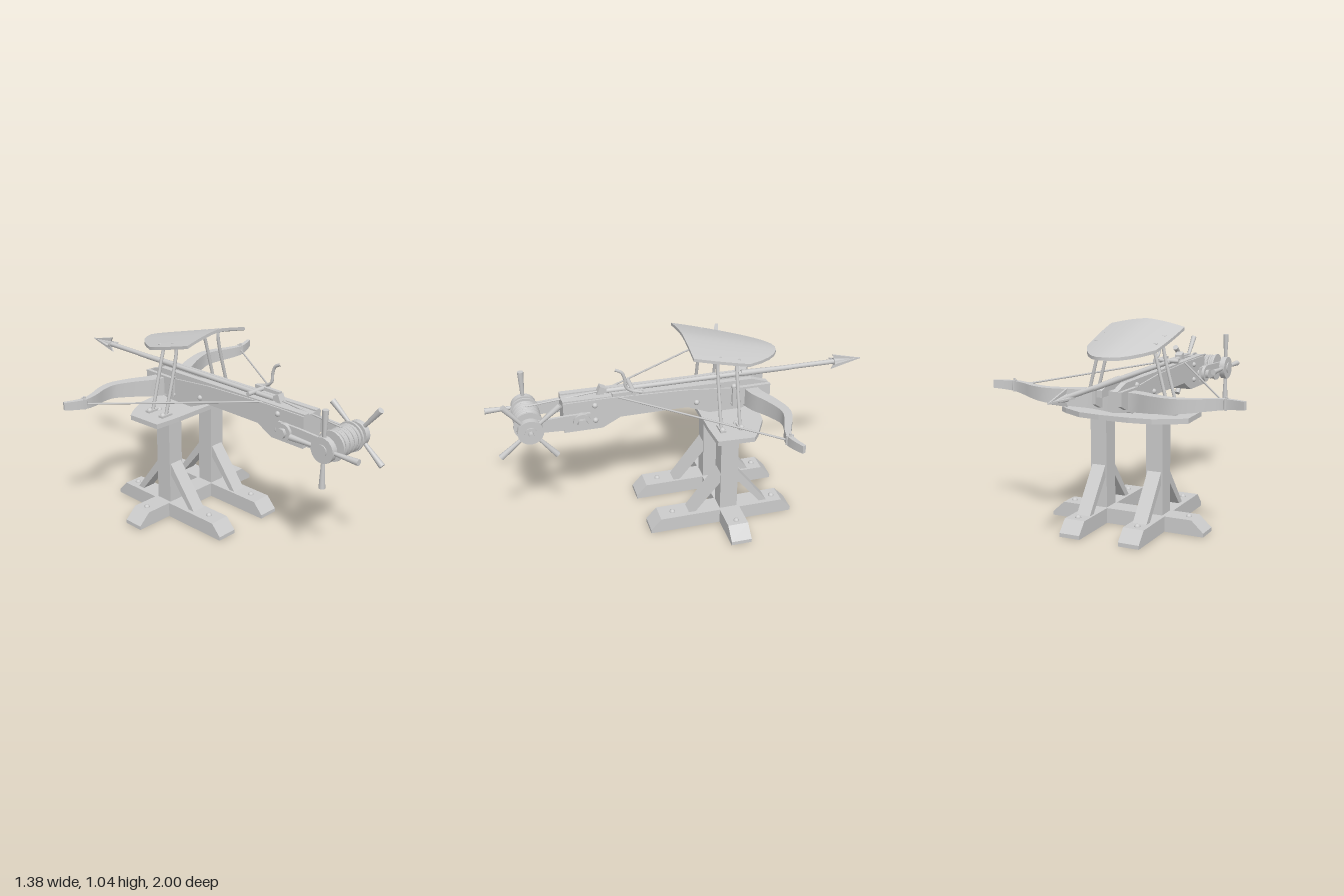
import * as THREE from 'three';
import { toCreasedNormals } from 'three/addons/utils/BufferGeometryUtils.js';

const mat = new THREE.MeshStandardMaterial({ color: 0xcccccc });
const V = (x, y, z) => new THREE.Vector3(x, y, z);

export function createModel() {
  const root = new THREE.Group();
  const add = (name, geo, x = 0, y = 0, z = 0) => {
    const m = new THREE.Mesh(geo, mat);
    m.name = name;
    m.position.set(x, y, z);
    root.add(m);
    return m;
  };
  const shape = (pts) => new THREE.Shape(pts.map(([a, b]) => new THREE.Vector2(a, b)));
  // Side profile of [z, y] points, centred across x
  const profile = (pts, width) => new THREE.ExtrudeGeometry(shape(pts), { depth: width, bevelEnabled: false })
    .translate(0, 0, -width / 2).rotateY(-Math.PI / 2);
  // Floor plan of [x, z] points, rising from y = 0
  const plan = (pts, height) => new THREE.ExtrudeGeometry(shape(pts.map(([x, z]) => [x, -z])), { depth: height, bevelEnabled: false })
    .rotateX(-Math.PI / 2);
  const tube = (name, pts, r, seg = 16) =>
    add(name, new THREE.TubeGeometry(new THREE.CatmullRomCurve3(pts), seg, r, 8));
  const rod = (name, a, b, r0, r1 = r0, sides = 10) => {
    const m = add(name, new THREE.CylinderGeometry(r1, r0, a.distanceTo(b), sides));
    m.position.copy(a).add(b).multiplyScalar(0.5);
    m.quaternion.setFromUnitVectors(V(0, 1, 0), b.clone().sub(a).normalize());
    return m;
  };
  const dome = (r) => new THREE.SphereGeometry(r, 10, 5, 0, Math.PI * 2, 0, Math.PI / 2);
  const topBolt = (x, y, z) => add('bolt', dome(0.016), x, y, z);
  const sideBolt = (s, x, y, z) => { add('sideBolt', dome(0.015), s * x, y, z).rotation.z = -s * Math.PI / 2; };

  // Base: two long feet and a cross beam, all with sloped ends
  const foot = (a, b, c) => [[a, 0], [a, 0.02], [a + c, 0.08], [b - c, 0.08], [b, 0.02], [b, 0]];
  const cross = add('crossBeam', profile(foot(-0.43, 0.43, 0.065), 0.11), 0, 0, -0.205);
  cross.rotation.y = Math.PI / 2;
  for (const s of [-1, 1]) {
    add('footBeam', profile(foot(-0.555, 0.23, 0.055), 0.112), s * 0.163, 0, 0);
    add('post', new THREE.BoxGeometry(0.09, 0.52, 0.095), s * 0.158, 0.32, -0.2025);
    add('frontBrace', profile([[0.016, 0.08], [-0.155, 0.305], [-0.155, 0.24], [-0.022, 0.08]], 0.075), s * 0.158);
    add('rearBrace', profile([[-0.42, 0.08], [-0.25, 0.305], [-0.25, 0.24], [-0.38, 0.08]], 0.075), s * 0.158);
    topBolt(s * 0.165, 0.078, 0.1);
    topBolt(s * 0.165, 0.078, -0.46);
    topBolt(s * 0.33, 0.078, -0.205);
    topBolt(s * 0.2, 0.598, -0.23);
  }

  // Platform on top of the posts
  const half = [[0.2, -0.08], [0.345, -0.09], [0.355, -0.28], [0.31, -0.315], [0.2, -0.375], [0.08, -0.39]];
  const mirrored = half.map(([x, z]) => [-x, z]).reverse();
  add('platform', plan([...half, ...mirrored], 0.026), 0, 0.575, 0);
  add('platformPeg', new THREE.BoxGeometry(0.045, 0.02, 0.1), 0.232, 0.566, -0.17);

  // Stock with stepped underside, and the grooved rail along it
  add('stock', profile([[0.63, 0.605], [0.63, 0.77], [0.4, 0.77], [0, 0.755], [-0.3, 0.725], [-0.38, 0.71],
    [-0.38, 0.63], [-0.305, 0.605], [-0.13, 0.605], [-0.01, 0.654], [0.34, 0.654], [0.434, 0.605]], 0.13));
  for (const s of [-1, 1]) {
    add('rail', profile([[0.63, 0.76], [0.63, 0.778], [-0.36, 0.765], [-0.45, 0.735], [-0.45, 0.7], [-0.3, 0.7]], 0.03), s * 0.042);
    add('noseCheek', profile([[-0.25, 0.63], [-0.25, 0.735], [-0.455, 0.735], [-0.455, 0.665], [-0.4, 0.64]], 0.02), s * 0.07);
    for (const [y, z] of [[0.74, 0.47], [0.655, 0.47], [0.675, -0.06], [0.74, -0.26], [0.64, -0.26]]) sideBolt(s, 0.064, y, z);
  }

  // Recurved bow: a box bent along a curve and tapered to the tips
  const right = [[0.12, -0.36], [0.22, -0.405], [0.34, -0.44], [0.42, -0.425], [0.5, -0.39], [0.57, -0.37], [0.62, -0.378], [0.685, -0.402]];
  const bowCurve = new THREE.CatmullRomCurve3([
    ...right.map(([x, z]) => V(-x, 0, z)).reverse(), V(0, 0, -0.345), ...right.map(([x, z]) => V(x, 0, z))]);
  const bow = new THREE.BoxGeometry(1, 1, 1, 56, 1, 1);
  const p = bow.attributes.position;
  for (let i = 0; i < p.count; i++) {
    const t = p.getX(i) + 0.5;
    const c = bowCurve.getPoint(t), d = bowCurve.getTangent(t);
    const k = Math.abs(c.x) / 0.685;
    const off = p.getZ(i) * THREE.MathUtils.lerp(0.075, 0.018, k);
    const top = 0.722 + 0.012 * k, bottom = 0.615 + 0.078 * k;
    p.setXYZ(i, c.x - d.z * off, p.getY(i) > 0 ? top : bottom, c.z + d.x * off);
  }
  add('bow', toCreasedNormals(bow, 0.6));

  // Bowstring with bindings at the bow tips
  for (const s of [-1, 1]) {
    rod('bowstring', V(s * 0.58, 0.705, -0.37), V(0, 0.775, 0.435), 0.005, 0.005, 6);
    const b = add('stringBinding', new THREE.CylinderGeometry(0.021, 0.021, 0.05, 10), s * 0.58, 0.71, -0.37);
    b.scale.x = 0.4;
    rod('stringKnot', V(s * 0.58, 0.675, -0.37), V(s * 0.58, 0.745, -0.37), 0.006);
  }

  // Loaded arrow with a broad head
  rod('arrowShaft', V(0, 0.778, 0.44), V(0, 0.77, -0.86), 0.013);
  rod('arrowShaftSleeve', V(0, 0.775, -0.32), V(0, 0.77, -0.6), 0.017, 0.013);
  rod('arrowHead', V(0, 0.77, -0.84), V(0, 0.77, -0.995), 0.02, 0.001, 8);
  for (let i = 0; i < 2; i++) {
    const blade = profile([[-0.83, -0.042], [-0.995, 0], [-0.83, 0.042], [-0.855, 0]].reverse(), 0.008);
    add('headBlade', blade, 0, 0.77, 0).rotation.z = i * Math.PI / 2;
  }

  // Trigger catch and curved lever
  add('catchBlock', profile([[0.4, 0.77], [0.4, 0.8], [0.43, 0.815], [0.45, 0.77]], 0.04));
  rod('catchBar', V(-0.06, 0.785, 0.27), V(0.08, 0.785, 0.27), 0.012);
  add('leverPlate', new THREE.BoxGeometry(0.02, 0.018, 0.16), 0.06, 0.785, 0.3);
  tube('lever', [V(0.073, 0.785, 0.23), V(0.073, 0.8, 0.28), V(0.073, 0.825, 0.31), V(0.073, 0.87, 0.315),
    V(0.073, 0.91, 0.33), V(0.073, 0.93, 0.365)], 0.008, 24);

  // Sloped, arched shield with a pointed far edge
  const shield = new THREE.BoxGeometry(2, 0.016, 1, 10, 1, 6);
  const q = shield.attributes.position;
  for (let i = 0; i < q.count; i++) {
    const u = q.getX(i), v = 0.5 - q.getZ(i);
    const z = -v * (0.5 - 0.2 * u * u);
    q.setXYZ(i, 0.21 * u * (1 - 0.1 * v * v), 1.036 + 0.275 * z - 0.035 * Math.abs(u) ** 1.5 + q.getY(i), z);
  }
  add('shield', toCreasedNormals(shield, 0.6));

  // Shield struts, hooked at the top and bolted to the platform
  for (const s of [-1, 1]) for (const z of [-0.14, -0.24]) {
    const top = 1.015 + 0.275 * z;
    tube('shieldStrut', [V(s * 0.235, 0.605, z), V(s * 0.215, 0.68, z), V(s * 0.165, 0.87, z),
      V(s * 0.152, top - 0.03, z), V(s * 0.155, top, z)], 0.009, 20);
    add('strutFoot', new THREE.BoxGeometry(0.07, 0.012, 0.03), s * 0.24, 0.606, z);
    topBolt(s * 0.258, 0.608, z);
    add('strutPad', new THREE.BoxGeometry(0.035, 0.012, 0.03), s * 0.155, top - 0.004, z);
  }

  // Winch: arms, pivot, drum and coiled rope
  const wy = 0.68, wz = 0.805;
  for (const s of [-1, 1]) {
    add('winchArm', profile([[0.5, 0.64], [0.5, 0.72], [0.62, 0.72], [0.83, 0.71], [0.83, 0.65], [0.62, 0.64]], 0.014), s * 0.093, 0, 0);
    rod('pivotCap', V(s * 0.09, wy, 0.545), V(s * 0.115, wy, 0.545), 0.045, 0.045, 16);
    rod('pivotNut', V(s * 0.11, wy, 0.545), V(s * 0.132, wy, 0.545), 0.026, 0.026, 6);
    rod('drumFlange', V(s * 0.068, wy, wz), V(s * 0.078, wy, wz), 0.077, 0.077, 20);
  }
  rod('pivot', V(-0.12, wy, 0.545), V(0.12, wy, 0.545), 0.02);
  rod('drum', V(-0.075, wy, wz), V(0.075, wy, wz), 0.062, 0.062, 20);
  for (let i = 0; i < 8; i++) {
    const coil = add('ropeCoil', new THREE.TorusGeometry(0.062, 0.0095, 6, 24), -0.057 + i * 0.0163, wy, wz);
    coil.rotation.y = Math.PI / 2 + (i % 2 ? 0.06 : -0.06);
  }
  rod('winchRope', V(0, 0.75, wz), V(0, 0.782, 0.43), 0.005, 0.005, 6);
  rod('axle', V(-0.15, wy, wz), V(0.175, wy, wz), 0.013);

  // Hand wheels: hubs with four flared spokes each
  for (const [x, turn] of [[-0.13, 0], [0.127, 0.68]]) {
    rod('wheelHub', V(x - 0.016, wy, wz), V(x + 0.016, wy, wz), 0.065, 0.065, 20);
    rod('hubCap', V(x - 0.022, wy, wz), V(x + 0.022, wy, wz), 0.03, 0.03, 12);
    for (let i = 0; i < 4; i++) {
      const a = turn + i * Math.PI / 2;
      const at = (r) => V(x, wy + r * Math.cos(a), wz + r * Math.sin(a));
      rod('spoke', at(0.05), at(0.198), 0.009, 0.016);
    }
  }
  return root;
}
